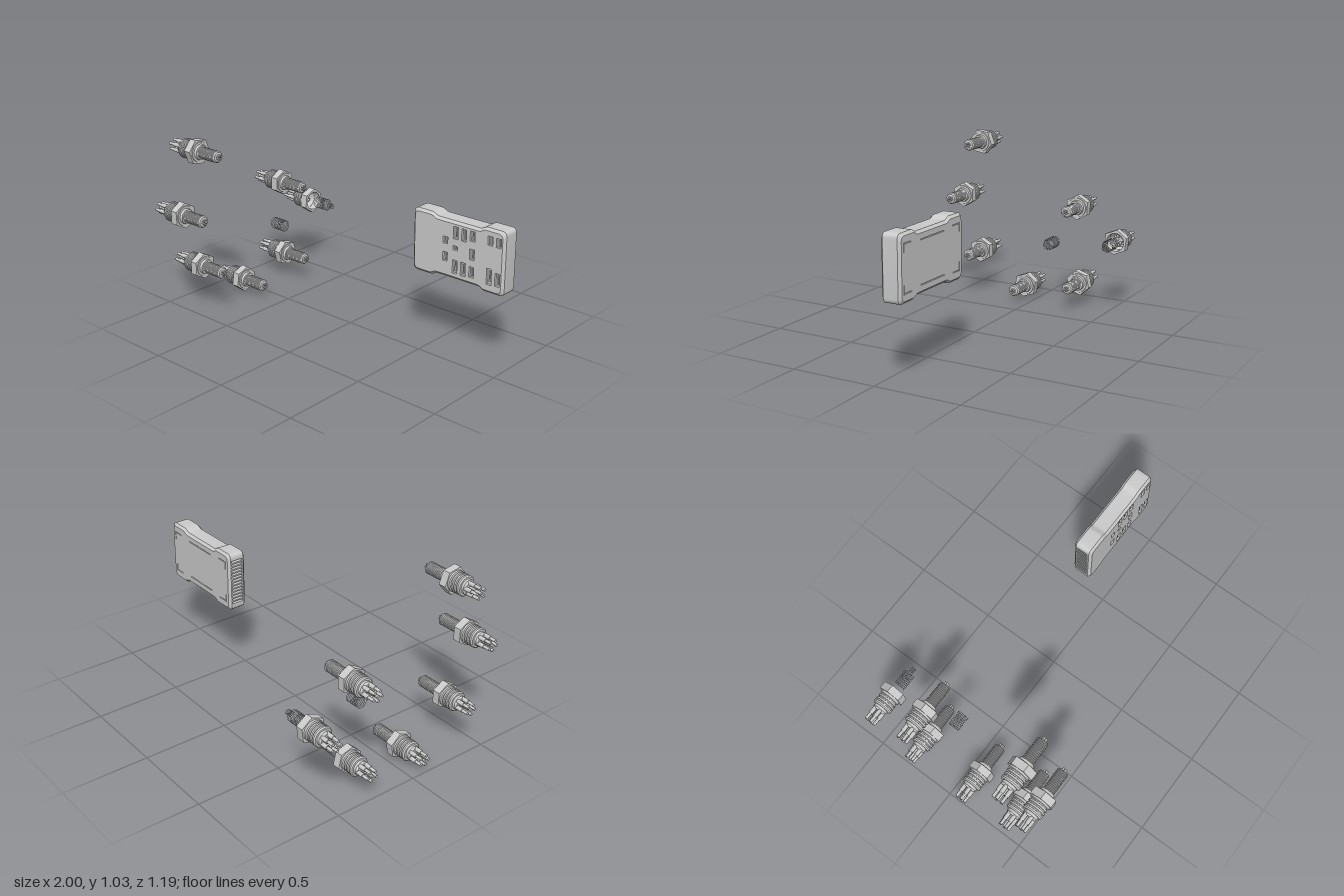
import * as THREE from 'three';
import { toCreasedNormals } from 'three/addons/utils/BufferGeometryUtils.js';

const grey = new THREE.MeshStandardMaterial({ color: 0xcccccc });
const greyFlat = new THREE.MeshStandardMaterial({ color: 0xcccccc, flatShading: true });
const greyThin = new THREE.MeshStandardMaterial({ color: 0xcccccc, side: THREE.DoubleSide });

function add(parent, name, geometry, material = grey) {
  const mesh = new THREE.Mesh(geometry, material);
  mesh.name = name;
  parent.add(mesh);
  return mesh;
}

// Solid of revolution about the x axis; points are [x, radius]
function turned(points, segments = 28) {
  const g = new THREE.LatheGeometry(points.map(([x, r]) => new THREE.Vector2(r, x)), segments);
  return toCreasedNormals(g.rotateZ(-Math.PI / 2), 0.6);
}

// Cylinder lying along x between two positions
function rod(x0, x1, r, y = 0, z = 0, sides = 12) {
  return new THREE.CylinderGeometry(r, r, x1 - x0, sides)
    .rotateZ(-Math.PI / 2).translate((x0 + x1) / 2, y, z);
}

// Wire coil lying along x
function coil(x0, x1, r, turns) {
  const pts = [];
  for (let i = 0; i <= turns * 16; i++) {
    const a = (i / 16) * Math.PI * 2;
    pts.push(new THREE.Vector3(x0 + (x1 - x0) * i / (turns * 16), r * Math.sin(a), r * Math.cos(a)));
  }
  return new THREE.TubeGeometry(new THREE.CatmullRomCurve3(pts), turns * 20, 0.0013, 4);
}

function ringOf(count, radius, fn) {
  for (let i = 0; i < count; i++) {
    const a = Math.PI / 2 + (i / count) * Math.PI * 2;
    fn(radius * Math.sin(a), radius * Math.cos(a));
  }
}

// Plug with contact pins, ribbed body, hexagonal nut and threaded stem
function connector(hollow) {
  const g = new THREE.Group();
  g.name = hollow ? 'openConnector' : 'connector';

  const body = [[-0.925, 0], [-0.925, 0.034], [-0.915, 0.042], [-0.9, 0.042], [-0.9, 0.052]];
  for (let i = 0; i < 3; i++) {
    const x = -0.893 + i * 0.02;
    body.push([x, 0.058], [x + 0.01, 0.058], [x + 0.012, 0.05], [x + 0.018, 0.05]);
  }
  body.push([-0.833, 0.06], [-0.82, 0.06]);
  if (hollow) body.push([-0.82, 0.054], [-0.85, 0.046], [-0.87, 0.046], [-0.87, 0]);
  else body.push([-0.82, 0]);
  add(g, 'ribbedBody', turned(body), hollow ? greyThin : grey);

  // Contact pins, stepped
  const pin = (y, z) => {
    add(g, 'pinSleeve', rod(-0.962, -0.9, 0.012, y, z));
    add(g, 'pin', rod(-1, -0.95, 0.0085, y, z));
  };
  ringOf(5, 0.029, pin);
  pin(0, 0);

  if (hollow) {
    const nut = new THREE.Shape();
    for (let i = 0; i < 6; i++) {
      const a = i * Math.PI / 3;
      nut[i ? 'lineTo' : 'moveTo'](0.077 * Math.cos(a), 0.077 * Math.sin(a));
    }
    nut.holes.push(new THREE.Path().absarc(0, 0, 0.055, 0, Math.PI * 2, true));
    add(g, 'hexNut', new THREE.ExtrudeGeometry(nut, { depth: 0.045, bevelEnabled: false, curveSegments: 20 })
      .rotateY(Math.PI / 2).translate(-0.82, 0, 0));
    // Sockets behind the open nut
    ringOf(5, 0.028, (y, z) => add(g, 'socket',
      turned([[-0.87, 0.012], [-0.84, 0.012], [-0.84, 0.008], [-0.87, 0.008]], 14).translate(0, y, z)));
    add(g, 'stemCoil', coil(-0.745, -0.65, 0.034, 9));
    add(g, 'tipCoil', coil(-0.645, -0.61, 0.014, 4));
  } else {
    add(g, 'hexNut', rod(-0.822, -0.777, 0.077, 0, 0, 6), greyFlat);
    add(g, 'collar', turned([[-0.78, 0.06], [-0.773, 0.058], [-0.773, 0.045], [-0.757, 0.042], [-0.757, 0]]));
    const thread = [[-0.765, 0.029]];
    for (let i = 0; i < 13; i++) {
      const x = -0.757 + i * 0.01;
      thread.push([x, 0.03], [x + 0.003, 0.035], [x + 0.006, 0.035], [x + 0.009, 0.03]);
    }
    thread.push([-0.624, 0.028], [-0.624, 0]);
    add(g, 'threadedStem', turned(thread, 20));
    ringOf(5, 0.0105, (y, z) => add(g, 'wire', rod(-0.63, -0.606, 0.0055, y, z, 8)));
  }
  return g;
}

// Waisted case outline, optionally with vent notches down its -x end
function outline(inset, notched = false) {
  const w = 0.295 - inset, h = 0.1775 - inset, r = 0.028, d = 0.016;
  const s = new THREE.Shape();
  s.moveTo(-w, -h + r);
  s.quadraticCurveTo(-w, -h, -w + r, -h);
  s.lineTo(-0.18, -h);
  s.bezierCurveTo(-0.155, -h, -0.155, -h + d, -0.13, -h + d);
  s.lineTo(0.13, -h + d);
  s.bezierCurveTo(0.155, -h + d, 0.155, -h, 0.18, -h);
  s.lineTo(w - r, -h);
  s.quadraticCurveTo(w, -h, w, -h + r);
  s.lineTo(w, h - r);
  s.quadraticCurveTo(w, h, w - r, h);
  s.lineTo(0.18, h);
  s.bezierCurveTo(0.155, h, 0.155, h - d, 0.13, h - d);
  s.lineTo(-0.13, h - d);
  s.bezierCurveTo(-0.155, h - d, -0.155, h, -0.18, h);
  s.lineTo(-w + r, h);
  s.quadraticCurveTo(-w, h, -w, h - r);
  if (notched) for (let i = 0; i < 14; i++) {
    const y = 0.137 - i * 0.02;
    s.lineTo(-w, y);
    s.lineTo(-w + 0.022, y);
    s.lineTo(-w + 0.022, y - 0.012);
    s.lineTo(-w, y - 0.012);
  }
  s.closePath();
  return s;
}

function slab(shape, z0, z1) {
  const g = new THREE.ExtrudeGeometry(shape, { depth: z1 - z0, bevelEnabled: false, curveSegments: 6 });
  return toCreasedNormals(g.translate(0, 0, z0), 0.6);
}

// Sloping strip between two outlines, the first one nearer the back
function chamfer(insetA, zA, insetB, zB) {
  const a = outline(insetA).getPoints(6), b = outline(insetB).getPoints(6);
  const pos = [], index = [], n = a.length;
  for (let i = 0; i < n; i++) pos.push(a[i].x, a[i].y, zA, b[i].x, b[i].y, zB);
  for (let i = 0; i < n; i++) {
    const p = i * 2, q = ((i + 1) % n) * 2;
    index.push(p, q, q + 1, p, q + 1, p + 1);
  }
  const g = new THREE.BufferGeometry();
  g.setAttribute('position', new THREE.Float32BufferAttribute(pos, 3));
  g.setIndex(index);
  return toCreasedNormals(g, 0.6);
}

function cut(shape, x, y, w, h) {
  const p = new THREE.Path();
  p.moveTo(x - w / 2, y - h / 2);
  p.lineTo(x - w / 2, y + h / 2);
  p.lineTo(x + w / 2, y + h / 2);
  p.lineTo(x + w / 2, y - h / 2);
  p.closePath();
  shape.holes.push(p);
}

function controlCase() {
  const g = new THREE.Group();
  g.name = 'controlCase';
  const c = 0.014;
  add(g, 'ventedMiddle', slab(outline(0, true), -0.036, 0.036));
  add(g, 'frontShell', slab(outline(0), 0.036, 0.043));
  add(g, 'backShell', slab(outline(0), -0.043, -0.036));
  add(g, 'frontChamfer', chamfer(0, 0.043, c, 0.057));
  add(g, 'backChamfer', chamfer(c, -0.057, 0, -0.043));

  // Front face with port openings: column x, then [centre y, height] of each port
  const front = outline(c);
  const columns = [
    [-0.077, [0.045, 0.038], [-0.047, 0.05]],
    [-0.012, [0.1, 0.068], [0.015, 0.024], [-0.09, 0.075]],
    [0.041, [0.1, 0.068], [-0.09, 0.075]],
    [0.095, [0.108, 0.055], [0.007, 0.06], [-0.092, 0.06]],
    [0.206, [0.112, 0.05], [-0.085, 0.09]],
    [0.258, [0.112, 0.05], [-0.09, 0.072]],
  ];
  for (const [x, ...ports] of columns) for (const [y, h] of ports) cut(front, x, y, 0.03, h);
  add(g, 'frontFace', slab(front, 0.0425, 0.057));

  // Raised contact strip inside each port
  for (const [x, ...ports] of columns) for (const [y, h] of ports)
    add(g, 'portContact', new THREE.BoxGeometry(0.008, h * 0.7, 0.008).translate(x, y, 0.046));

  // Back face with shallow grooves along the corners and middle
  const back = outline(c);
  for (const sy of [-1, 1]) {
    cut(back, 0, sy * 0.115, 0.22, 0.005);
    for (const sx of [-1, 1]) {
      cut(back, sx * 0.225, sy * 0.125, 0.06, 0.005);
      cut(back, sx * 0.26, sy * 0.105, 0.005, 0.05);
    }
  }
  add(g, 'backFace', slab(back, -0.057, -0.0425));
  g.position.set(0.7, 0.6175, -0.106);
  return g;
}

export function createModel() {
  const model = new THREE.Group();
  model.name = 'connectorsAndCase';

  // y, z and turn (degrees) of each connector; the last one is open
  const places = [
    [0.96, 0.4, -9.5], [0.612, 0.527, 31], [0.265, 0.402, 31], [0.08, 0.08, 20.5],
    [0.143, -0.281, 43], [0.612, -0.266, 29], [0.427, -0.52, 23],
  ];
  places.forEach(([y, z, turn], i) => {
    const c = connector(i === 6);
    c.position.set(0, y, z);
    c.rotation.x = THREE.MathUtils.degToRad(turn);
    model.add(c);
  });

  add(model, 'looseCoil', coil(-0.745, -0.65, 0.034, 9)).position.set(0, 0.394, -0.139);
  model.add(controlCase());
  return model;
}
